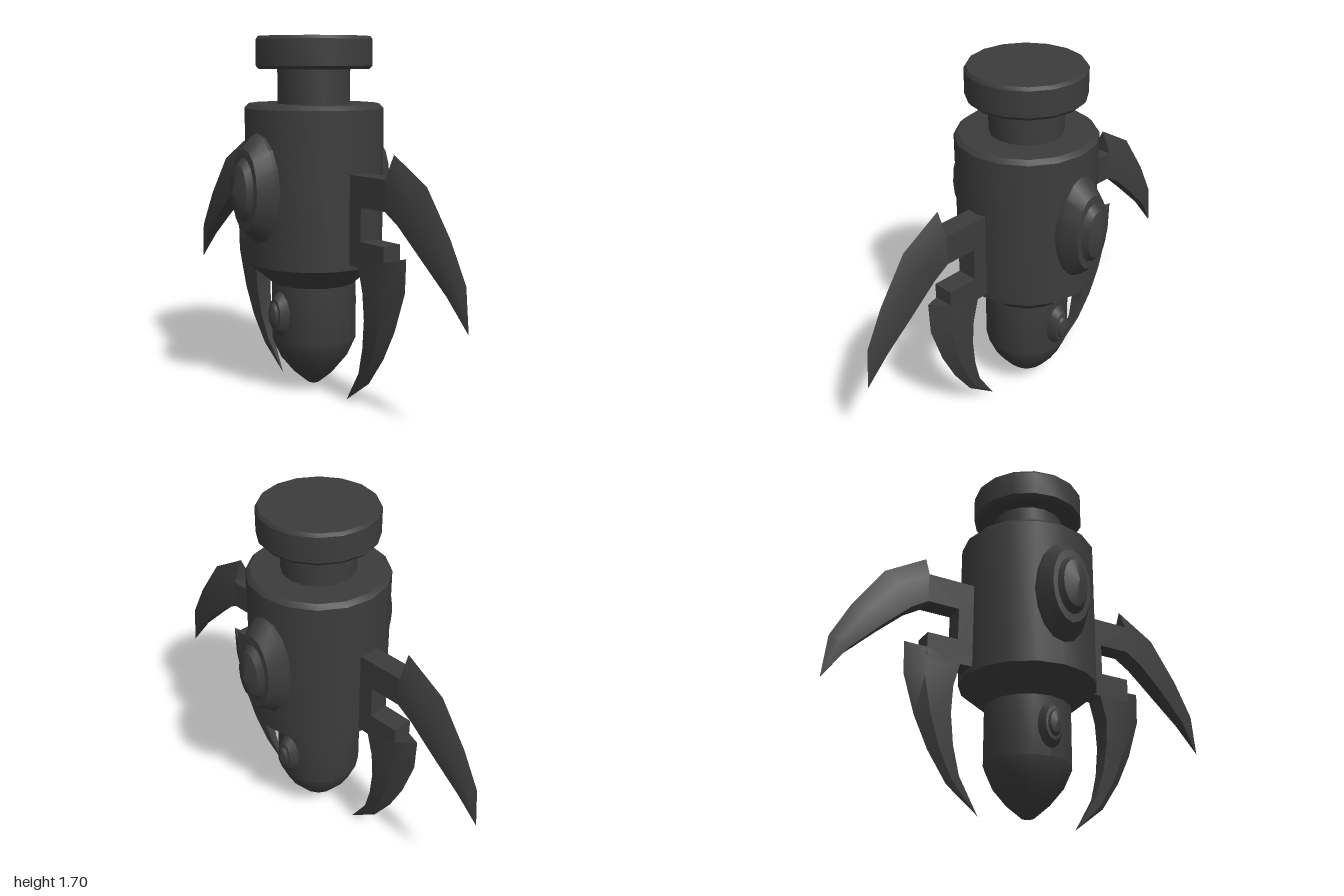
import * as THREE from 'three';
import { toCreasedNormals } from 'three/addons/utils/BufferGeometryUtils.js';

const material = new THREE.MeshStandardMaterial({ color: 0x3c3c3c });

function part(name, geometry, crease = 0.55) {
  const mesh = new THREE.Mesh(toCreasedNormals(geometry, crease), material);
  mesh.name = name;
  return mesh;
}

// profile: [radius, height] pairs from bottom to top
function lathe(profile, sides = 16) {
  return new THREE.LatheGeometry(profile.map(([r, y]) => new THREE.Vector2(r, y)), sides);
}

// Oval boss lying on the +x side: rotated lathe squashed to half-sizes ry, rz
function boss(name, profile, y, ry, rz) {
  const g = lathe(profile, 16);
  g.rotateZ(-Math.PI / 2);
  g.scale(1, ry, rz);
  g.translate(0, y, 0);
  return part(name, g);
}

// Claw lofted from stations [outerZ, outerY, innerZ, innerY, halfWidth, ridge depth].
// Each section is a pentagon with a sharp outer ridge and a flat inner side.
function claw(name, stations, shoulder) {
  const pos = [], index = [], n = 5;
  for (const [oz, oy, iz, iy, w] of stations) {
    const sz = oz + (iz - oz) * shoulder, sy = oy + (iy - oy) * shoulder;
    pos.push(0, oy, oz, w, sy, sz, w, iy, iz, -w, iy, iz, -w, sy, sz);
  }
  for (let s = 0; s < stations.length - 1; s++) {
    for (let i = 0; i < n; i++) {
      const a = s * n + i, a2 = s * n + (i + 1) % n;
      index.push(a, a + n, a2, a2, a + n, a2 + n);
    }
  }
  index.push(0, 1, 2, 0, 2, 3, 0, 3, 4);
  const g = new THREE.BufferGeometry();
  g.setAttribute('position', new THREE.Float32BufferAttribute(pos, 3));
  g.setIndex(index);
  return part(name, g, 0.6);
}

// C-shaped bracket drawn in (z, y) and extruded across x
function bracket() {
  const outline = [
    [0.28, 0.67], [0.545, 0.67], [0.545, 0.79], [0.395, 0.79],
    [0.395, 0.945], [0.55, 0.945], [0.55, 1.085], [0.28, 1.085],
  ];
  const shape = new THREE.Shape(outline.map(([z, y]) => new THREE.Vector2(z, y)));
  const g = new THREE.ExtrudeGeometry(shape, { depth: 0.1, bevelEnabled: false });
  g.translate(0, 0, -0.05);
  g.rotateY(-Math.PI / 2);
  return part('armBracket', g);
}

export function createModel() {
  const model = new THREE.Group();
  model.name = 'clawedPod';

  // Central body, neck and cap
  model.add(part('body', lathe([
    [0, 0.025], [0.03, 0.025], [0.1, 0.085], [0.165, 0.165], [0.205, 0.255],
    [0.205, 0.54], [0.33, 0.645], [0.33, 1.37], [0.31, 1.39], [0, 1.39],
  ])));
  model.add(part('neck', lathe([[0.172, 1.36], [0.172, 1.57]])));
  model.add(part('cap', lathe([
    [0, 1.55], [0.262, 1.55], [0.275, 1.565], [0.275, 1.685], [0.265, 1.7], [0, 1.7],
  ])));

  // One side of bosses and one arm, repeated by a half turn
  for (let i = 0; i < 2; i++) {
    const sideBosses = new THREE.Group();
    sideBosses.name = i ? 'rightBosses' : 'leftBosses';
    sideBosses.add(boss('largeBoss', [
      [1, 0.25], [1, 0.332], [0.74, 0.403], [0.58, 0.405], [0.47, 0.435], [0, 0.468],
    ], 1.01, 0.255, 0.135));
    sideBosses.add(boss('smallBoss', [
      [1, 0.15], [1, 0.205], [0.74, 0.237], [0.58, 0.239], [0.47, 0.252], [0, 0.267],
    ], 0.4, 0.108, 0.06));

    const arm = new THREE.Group();
    arm.name = i ? 'backArm' : 'frontArm';
    arm.add(bracket());
    arm.add(claw('upperClaw', [
      [0.55, 1.19, 0.55, 0.945, 0.05], [0.75, 1.07, 0.63, 0.895, 0.05],
      [0.89, 0.865, 0.76, 0.775, 0.044], [0.98, 0.69, 0.9, 0.635, 0.028],
      [1, 0.49, 1, 0.49, 0],
    ], 0.43));
    arm.add(claw('lowerClaw', [
      [0.635, 0.745, 0.38, 0.67, 0.05], [0.63, 0.59, 0.41, 0.56, 0.05],
      [0.57, 0.405, 0.413, 0.43, 0.042], [0.5, 0.26, 0.393, 0.29, 0.032],
      [0.405, 0.12, 0.353, 0.16, 0.018], [0.25, 0, 0.25, 0, 0],
    ], 0.37));

    sideBosses.rotation.y = arm.rotation.y = i * Math.PI;
    model.add(sideBosses, arm);
  }
  return model;
}
